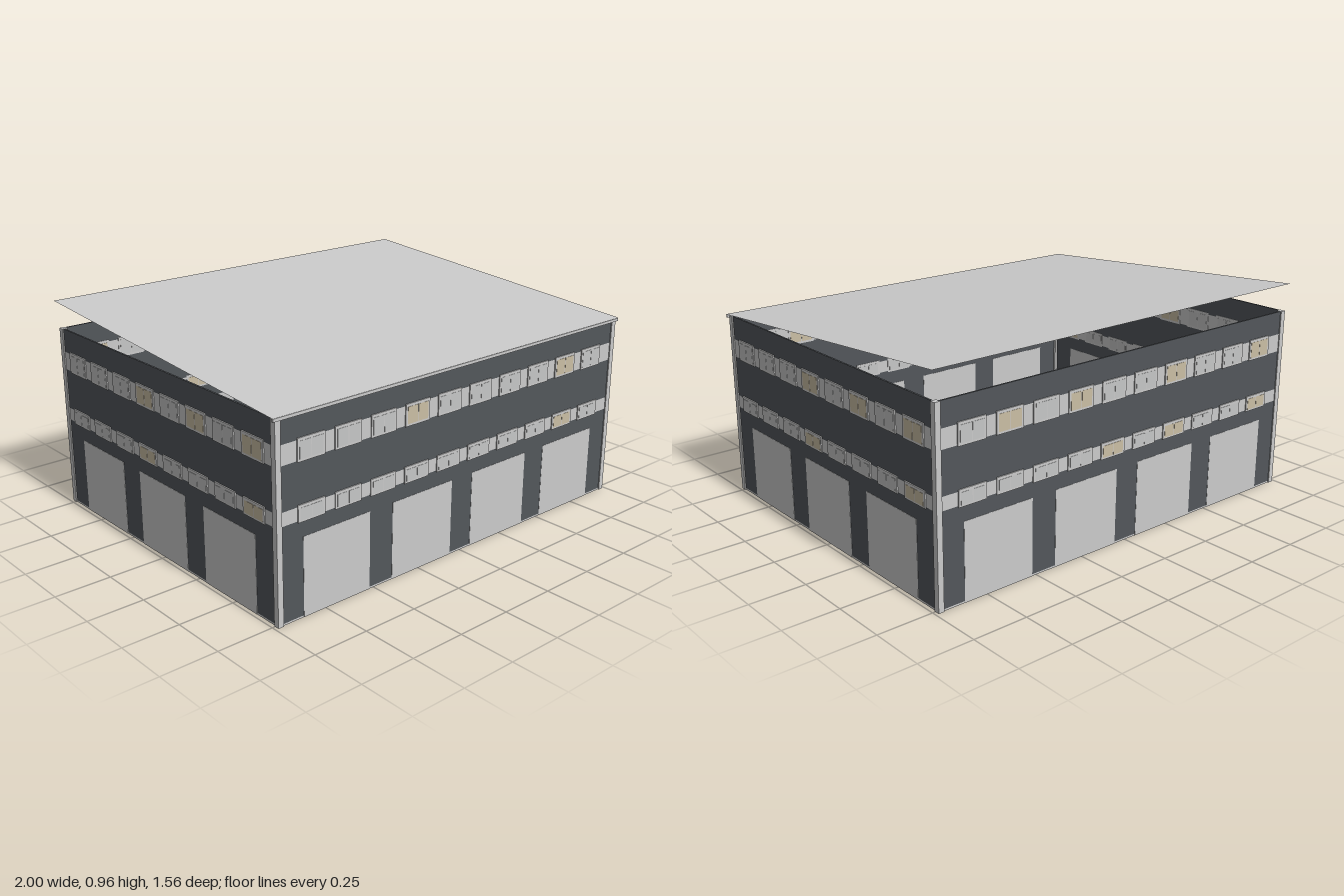
import * as THREE from 'three';

const mat = (name, color, side = THREE.FrontSide) => {
  const m = new THREE.MeshStandardMaterial({ color, side });
  m.name = name;
  return m;
};

export function createModel() {
  const model = new THREE.Group();
  model.name = 'hall';
  const dark = mat('dark cladding', 0x53575b);
  const light = mat('light grey trim', 0xcccccc);
  const glass = mat('window grey', 0xc6c7c7);
  const lit = mat('lit window', 0xcabea4);
  const roofMat = mat('roof grey', 0xcacaca, THREE.DoubleSide);

  // Box given by its x, y and z ranges
  const box = (parent, name, m, x0, x1, y0, y1, z0, z1) => {
    const mesh = new THREE.Mesh(new THREE.BoxGeometry(x1 - x0, y1 - y0, z1 - z0), m);
    mesh.position.set((x0 + x1) / 2, (y0 + y1) / 2, (z0 + z1) / 2);
    mesh.name = name;
    parent.add(mesh);
  };

  const TOP = 0.838, T = 0.008, DOOR = 0.34;
  // Window rows: band, bay and pane heights
  const rows = [
    { band: [0.41, 0.467], bay: [0.404, 0.475], pane: [0.412, 0.463] },
    { band: [0.65, 0.732], bay: [0.646, 0.74], pane: [0.656, 0.728] },
  ];

  // One facade, facing +z before it is turned into place
  function facade(name, half, dist, angle, doors, count, step, litRows) {
    const g = new THREE.Group();
    g.name = name;
    const z1 = dist, z0 = dist - T;

    // Dark cladding strips
    box(g, 'parapet', dark, -half, half, rows[1].band[1], TOP, z0, z1);
    box(g, 'spandrel', dark, -half, half, rows[0].band[1], rows[1].band[0], z0, z1);
    box(g, 'lintel', dark, -half, half, DOOR, rows[0].band[0], z0, z1);

    // Gates with piers between them
    let x = -half;
    const pier = (a, b) => {
      box(g, 'pier', dark, a, b, 0.008, DOOR, z0, z1);
      box(g, 'plinth', light, a, b, 0, 0.008, z0, z1);
    };
    for (const c of doors) {
      pier(x, c - 0.169);
      box(g, 'gate', light, c - 0.169, c + 0.169, 0, DOOR, z0 - 0.001, z1 + 0.001);
      x = c + 0.169;
    }
    pier(x, half);

    // Window bands with projecting bays and paired panes
    rows.forEach((r, k) => {
      box(g, 'windowBand', light, -half, half, ...r.band, z0, z1);
      for (let i = 0; i < count; i++) {
        const c = (i - (count - 1) / 2) * step;
        box(g, 'windowBay', light, c - 0.066, c + 0.066, ...r.bay, z0 - 0.002, z1 + 0.005);
        const m = litRows[k].includes(i) ? lit : glass;
        for (const s of [-1, 1]) {
          const p = c + s * 0.029;
          box(g, 'windowPane', m, p - 0.027, p + 0.027, ...r.pane, z0 - 0.003, z1 + 0.006);
        }
      }
    });
    g.rotation.y = angle;
    model.add(g);
  }

  const longDoors = [-0.69, -0.23, 0.23, 0.69], shortDoors = [-0.466, 0, 0.466];
  facade('frontWall', 0.965, 0.767, 0, longDoors, 10, 0.182, [[8], [3, 8]]);
  facade('backWall', 0.965, 0.767, Math.PI, longDoors, 10, 0.182, [[4, 6, 9], [1, 3, 6, 9]]);
  facade('rightWall', 0.75, 0.982, Math.PI / 2, shortDoors, 8, 0.181, [[3, 7], [3, 5, 7]]);
  facade('leftWall', 0.75, 0.982, -Math.PI / 2, shortDoors, 8, 0.181, [[3, 7], [3, 5, 7]]);

  // Corner posts
  for (const sx of [-1, 1]) for (const sz of [-1, 1]) {
    const px = sx * 0.974, pz = sz * 0.759;
    box(model, 'cornerPost', light, px - 0.013, px + 0.013, 0, TOP, pz - 0.013, pz + 0.013);
  }

  // Thin lean-to roof, rising to the back
  const yFront = 0.845, yBack = 0.963, zFront = 0.776, zBack = -0.779;
  const roofGeo = new THREE.PlaneGeometry(2, Math.hypot(zFront - zBack, yBack - yFront));
  roofGeo.rotateX(-Math.PI / 2 + Math.atan2(yBack - yFront, zFront - zBack));
  const roof = new THREE.Mesh(roofGeo, roofMat);
  roof.position.set(0, (yFront + yBack) / 2, (zFront + zBack) / 2);
  roof.name = 'roof';
  model.add(roof);

  // Eaves strip along the front
  box(model, 'eavesStrip', light, -0.998, 0.998, 0.83, 0.843, 0.768, 0.777);

  return model;
}
